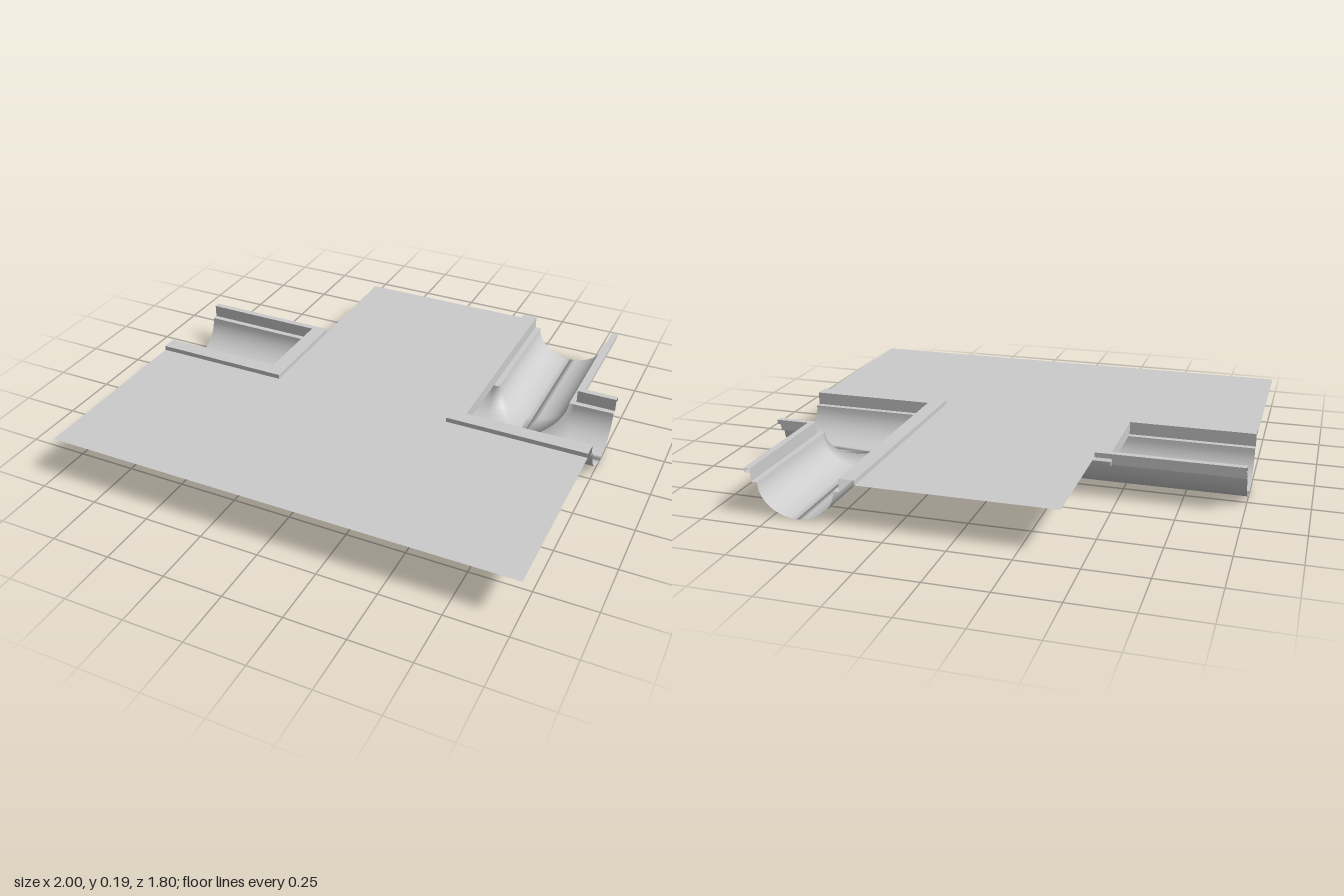
import * as THREE from 'three';
import { mergeVertices } from 'three/addons/utils/BufferGeometryUtils.js';

const RIM = 0.135, DECK = 0.17, TOP = 0.19; // heights of channel rim, deck and curb top
const R = 0.16, CX = 0.645, CZ = -0.15;     // channel half width, branch and main axes
const BACK = -0.9;

const smooth = new THREE.MeshStandardMaterial({ color: 0xcccccc, side: THREE.DoubleSide });
const flat = new THREE.MeshStandardMaterial({ color: 0xcccccc, side: THREE.DoubleSide, flatShading: true });

function quad(out, a, b, c, d) {
  out.push(...a, ...b, ...c, ...a, ...c, ...d);
}

function toGeometry(positions) {
  const g = new THREE.BufferGeometry();
  g.setAttribute('position', new THREE.Float32BufferAttribute(positions, 3));
  return g;
}

function addMesh(group, name, geometry, material) {
  const m = new THREE.Mesh(geometry, material);
  m.name = name;
  group.add(m);
}

// Two curved channels meeting in a mitred T junction
function channelGeometry() {
  const out = [], n = 10;
  const rows = [];
  for (let i = 0; i <= n; i++) {
    const a = (i / n) * Math.PI / 2;
    rows.push([R * Math.sin(a), RIM * (1 - Math.cos(a))]);
  }
  // Strip between two profile rows; stops holds a pair of lengthwise positions per column
  const strip = (stops, at) => {
    for (let k = 0; k + 1 < stops.length; k++) {
      quad(out, at(0, stops[k][0]), at(0, stops[k + 1][0]), at(1, stops[k + 1][1]), at(1, stops[k][1]));
    }
  };
  for (let i = 0; i < n; i++) {
    const r = [rows[i], rows[i + 1]];
    const d0 = r[0][0], d1 = r[1][0];
    const both = v => [v, v];
    // front half of the main channel
    strip([-1, 0.46, CX, 0.83, 1].map(both), (j, x) => [x, r[j][1], CZ + r[j][0]]);
    // back half, interrupted by the branch
    const back = (j, x) => [x, r[j][1], CZ - r[j][0]];
    strip([both(-1), both(0.46), [CX - d0, CX - d1]], back);
    strip([[CX + d0, CX + d1], both(0.83), both(1)], back);
    // branch channel
    for (const s of [-1, 1]) {
      strip([[CZ - d0, CZ - d1], both(-0.335), both(BACK)], (j, z) => [CX + s * r[j][0], r[j][1], z]);
    }
  }
  const g = mergeVertices(toGeometry(out), 1e-4);
  g.computeVertexNormals();
  return g;
}

// Sweep an [offset, height] profile along a right-angled path of [x, z] points
function sweepGeometry(path, profile) {
  const out = [];
  const normals = path.slice(1).map(([x, z], i) => {
    const dx = x - path[i][0], dz = z - path[i][1], l = Math.hypot(dx, dz);
    return [dz / l, -dx / l];
  });
  const at = (i, [o, y]) => {
    const a = normals[i - 1] || [0, 0], b = normals[i] || [0, 0];
    return [path[i][0] + o * (a[0] + b[0]), y, path[i][1] + o * (a[1] + b[1])];
  };
  for (let i = 0; i + 1 < path.length; i++) {
    for (let k = 0; k + 1 < profile.length; k++) {
      quad(out, at(i, profile[k]), at(i, profile[k + 1]), at(i + 1, profile[k + 1]), at(i + 1, profile[k]));
    }
  }
  const g = toGeometry(out);
  g.computeVertexNormals();
  return g;
}

// Horizontal rectangle
function flatRect(x0, x1, z0, z1, y) {
  return new THREE.PlaneGeometry(x1 - x0, z1 - z0).rotateX(-Math.PI / 2)
    .translate((x0 + x1) / 2, y, (z0 + z1) / 2);
}

export function createModel() {
  const group = new THREE.Group();
  group.name = 'channelJunction';

  // T-shaped ground deck
  const deck = new THREE.Shape([
    [-1, -0.9], [1, -0.9], [1, -0.1], [0.4, -0.1],
    [0.4, 0.9], [-0.4, 0.9], [-0.4, -0.1], [-1, -0.1],
  ].map(([x, y]) => new THREE.Vector2(x, y)));
  addMesh(group, 'deck', new THREE.ShapeGeometry(deck).rotateX(-Math.PI / 2).translate(0, DECK, 0), flat);

  addMesh(group, 'channels', channelGeometry(), smooth);

  // Wide curbs standing on the edge of the deck
  const wide = [[0, RIM], [0, TOP], [0.065, TOP], [0.065, DECK]];
  addMesh(group, 'leftDeckCurb', sweepGeometry([[1, 0.035], [0.46, 0.035], [0.46, BACK]], wide), flat);
  addMesh(group, 'rightDeckCurb', sweepGeometry([[-0.465, -0.362], [-0.465, 0.035], [-1, 0.035]], wide), flat);
  addMesh(group, 'rightCurbEnd',
    new THREE.PlaneGeometry(0.065, TOP - DECK).rotateY(Math.PI).translate(-0.4325, (TOP + DECK) / 2, -0.362), flat);

  // Narrow stepped curbs on the far sides of the channels
  const narrow = [[0, RIM], [0.025, RIM], [0.025, TOP], [0.052, TOP], [0.052, DECK], [0.025, DECK]];
  addMesh(group, 'cornerCurb', sweepGeometry([[0.805, BACK], [0.805, -0.31], [1, -0.31]], narrow), flat);
  addMesh(group, 'backCurb', sweepGeometry([[-1, -0.31], [-0.465, -0.31]], narrow), flat);

  // Ledges between the channel rim and the wide curbs
  addMesh(group, 'rightLedge', flatRect(-1, -0.465, 0.01, 0.035, RIM), flat);
  addMesh(group, 'leftLedge', flatRect(0.46, 1, 0.01, 0.035, RIM), flat);
  addMesh(group, 'branchLedge', flatRect(0.46, 0.485, BACK, -0.31, RIM), flat);

  return group;
}
